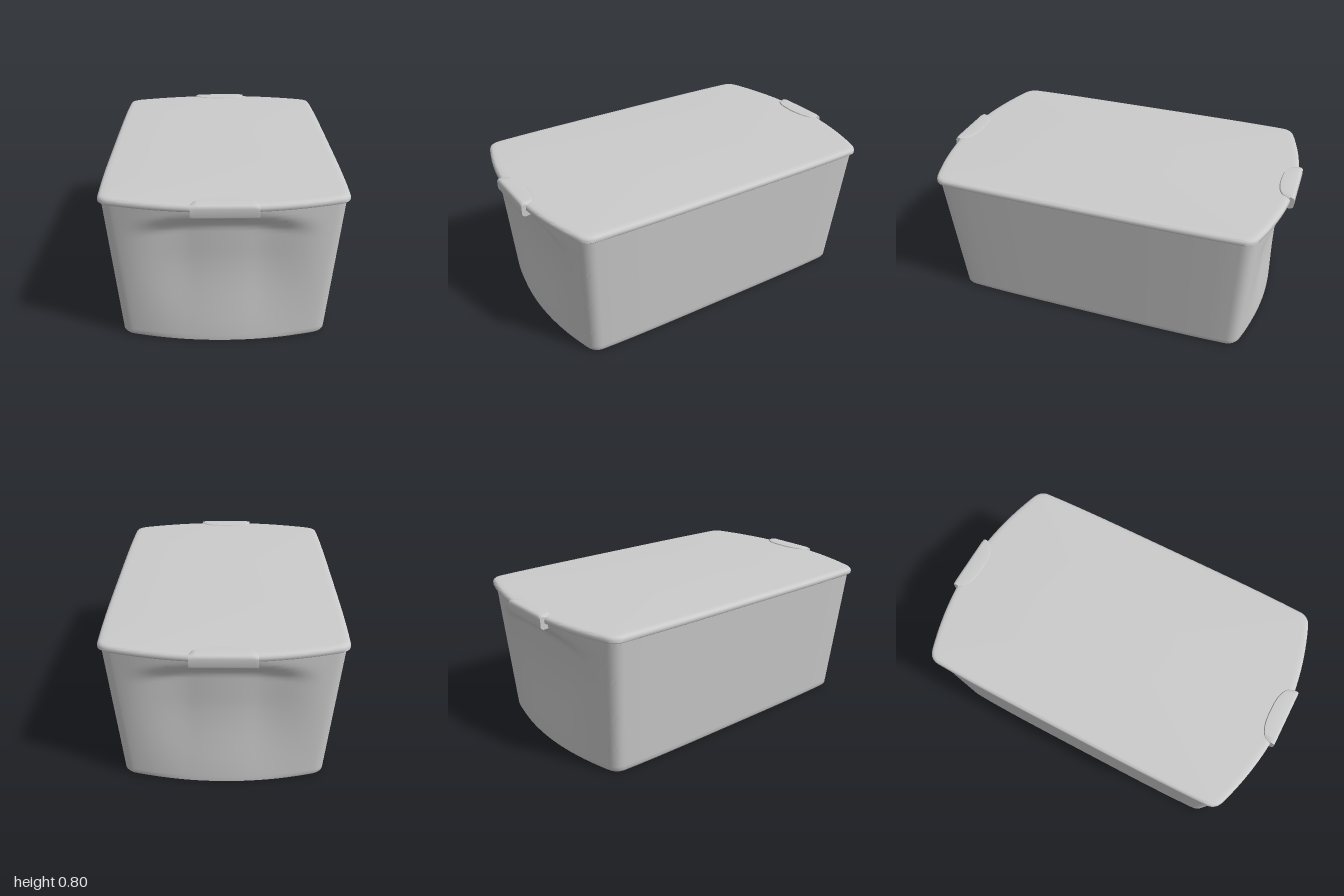
import * as THREE from 'three';
import { toCreasedNormals } from 'three/addons/utils/BufferGeometryUtils.js';

const smooth = THREE.MathUtils.smoothstep;
const lerp = THREE.MathUtils.lerp;

// Skin a stack of closed rings and cap both ends with a fan.
function loft(rings, crease) {
  const n = rings[0].length, pos = [], index = [];
  rings.forEach(r => r.forEach(p => pos.push(p.x, p.y, p.z)));
  for (let k = 0; k < rings.length - 1; k++) {
    for (let i = 0; i < n; i++) {
      const j = (i + 1) % n;
      const a = k * n + i, b = k * n + j, c = a + n, d = b + n;
      index.push(a, b, d, a, d, c);
    }
  }
  const cap = (k, flip) => {
    const centre = new THREE.Vector3();
    rings[k].forEach(p => centre.addScaledVector(p, 1 / n));
    const m = pos.length / 3;
    pos.push(centre.x, centre.y, centre.z);
    for (let i = 0; i < n; i++) {
      const a = k * n + i, b = k * n + (i + 1) % n;
      if (flip) index.push(m, b, a); else index.push(m, a, b);
    }
  };
  cap(0, true);
  cap(rings.length - 1, false);
  const g = new THREE.BufferGeometry();
  g.setAttribute('position', new THREE.Float32BufferAttribute(pos, 3));
  g.setIndex(index);
  return toCreasedNormals(g, crease);
}

// Plan outline: bowed ends, almost straight sides, tight rounded corners.
function outline(hw, zc, y) {
  const bow = 0.012, r = 0.065;
  const endZ = x => zc - 0.31 * x * x;
  const corner = new THREE.Vector2(hw - bow, endZ(hw - bow));
  const sideX = z => hw - bow * Math.pow(z / corner.y, 4);
  const a = new THREE.Vector2(hw - r, endZ(hw - r));
  const zb = corner.y - 0.05;
  const b = new THREE.Vector2(sideX(zb), zb);
  const q = [];
  for (let i = 0; i < 20; i++) {
    const x = a.x * i / 20;
    q.push([x, endZ(x)]);
  }
  new THREE.QuadraticBezierCurve(a, corner, b).getPoints(8).forEach(p => q.push([p.x, p.y]));
  for (let i = 1; i <= 8; i++) {
    const z = zb * (1 - i / 8);
    q.push([sideX(z), z]);
  }
  // Mirror the quarter into the full loop, dropping shared points.
  const half = [...q, ...q.slice(0, -1).reverse().map(([x, z]) => [x, -z])];
  const full = [...half, ...half.slice(1, -1).reverse().map(([x, z]) => [-x, z])];
  return full.map(([x, z]) => new THREE.Vector3(x, y, z));
}

// Tapered tub with a shallow scoop in each end, deepest under the clip.
function bodyGeometry() {
  const rings = [outline(0.518, 0.893, 0.004), outline(0.526, 0.901, 0.008)];
  const steps = 36, top = 0.77;
  for (let k = 0; k <= steps; k++) {
    const y = lerp(0.018, top, k / steps), t = y / top;
    const ring = outline(lerp(0.53, 0.606, t), lerp(0.906, 0.97, t), y);
    ring.forEach(p => {
      const ax = Math.abs(p.x);
      if (Math.abs(p.z) < 0.7) return;
      const width = 1 - smooth(ax, 0.15, 0.5);
      const rim = 0.745 - 0.3 * ax * ax;
      const depth = smooth(y, -0.1, 0.5) * (1 - smooth(y, rim - 0.1, rim));
      p.z -= Math.sign(p.z) * 0.055 * width * depth;
    });
    rings.push(ring);
  }
  return loft(rings, 0.7);
}

// Lid: overhanging lip rolled into a nearly flat top; [inset, height].
function lidGeometry() {
  const profile = [
    [0.02, 0.757], [0.004, 0.757], [0, 0.761], [0, 0.774],
    [0.003, 0.782], [0.009, 0.788], [0.018, 0.791], [0.04, 0.792]
  ];
  return loft(profile.map(([d, y]) => outline(0.62 - d, 0.986 - d, y)), 0.8);
}

// Clip: hooked section swept across, its back edges curving away at the ends.
function clipGeometry() {
  const rings = [], steps = 24, hw = 0.163;
  for (let k = 0; k <= steps; k++) {
    const u = lerp(-1, 1, k / steps), x = u * hw;
    const arch = Math.sqrt(Math.max(0, 1 - Math.pow(Math.abs(u), 2.6)));
    const back = lerp(0.965, 0.9, arch);
    const low = lerp(0.728, 0.71, arch);
    const round = 0.005 * smooth(Math.abs(u), 0.85, 1);
    const section = [
      [back, 0.79], [back + 0.006, 0.797 - round], [0.982, 0.8 - round],
      [0.993, 0.797 - round], [0.999, 0.789 - round], [1, 0.78],
      [1, 0.742], [0.997, 0.734], [0.985, 0.726], [0.962, low],
      [lerp(0.955, 0.925, arch), low + 0.003], [lerp(0.953, 0.9, arch), low + 0.02]
    ];
    rings.push(section.map(([z, y]) => new THREE.Vector3(x, y, z)));
  }
  return loft(rings, 0.75);
}

export function createModel() {
  const model = new THREE.Group();
  model.name = 'storageBox';
  const material = new THREE.MeshStandardMaterial({ color: 0xcccccc });
  const add = (name, geometry) => {
    const mesh = new THREE.Mesh(geometry, material);
    mesh.name = name;
    model.add(mesh);
    return mesh;
  };
  add('body', bodyGeometry());
  add('lid', lidGeometry());
  const clip = clipGeometry();
  add('frontClip', clip);
  add('backClip', clip).rotation.y = Math.PI;
  return model;
}
